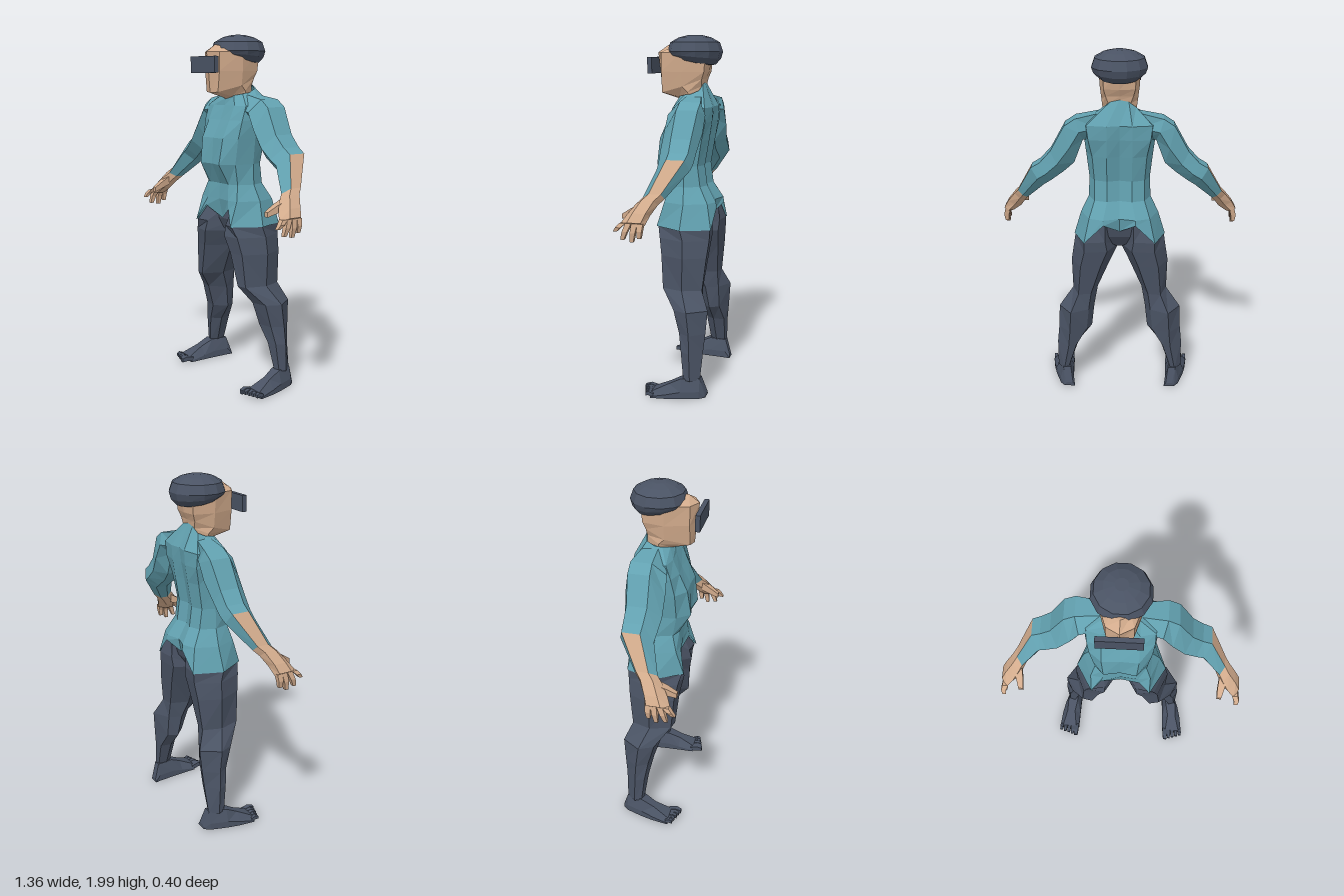
import * as THREE from 'three';

const mat = (name, color) => {
  const m = new THREE.MeshStandardMaterial({ color, flatShading: true });
  m.name = name;
  return m;
};

// Skin a list of equal-length rings of [x, y, z]; pick(ring, column) chooses the material.
function loft(name, rings, materials, { caps = true, pick = () => 0 } = {}) {
  const mats = [].concat(materials);
  const tris = mats.map(() => []);
  const n = rings[0].length;
  for (let i = 0; i < rings.length - 1; i++) {
    for (let j = 0; j < n; j++) {
      const k = (j + 1) % n;
      const [a, b, c, d] = [rings[i][j], rings[i][k], rings[i + 1][k], rings[i + 1][j]];
      tris[pick(i, j)].push([a, b, c], [a, c, d]);
    }
  }
  const middle = pts => [0, 1, 2].map(k => pts.reduce((s, p) => s + p[k], 0) / pts.length);
  if (caps) {
    const last = rings[rings.length - 1];
    const c0 = middle(rings[0]), c1 = middle(last);
    for (let j = 0; j < n; j++) {
      const k = (j + 1) % n;
      tris[0].push([c0, rings[0][k], rings[0][j]]);
      tris[pick(rings.length - 2, j)].push([c1, last[j], last[k]]);
    }
  }
  // Turn all faces outward
  const mid = new THREE.Vector3(...middle(rings.flat()));
  const v = p => new THREE.Vector3(...p).sub(mid);
  const volume = tris.flat().reduce((s, [a, b, c]) => s + v(a).dot(v(b).cross(v(c))), 0);
  const geo = new THREE.BufferGeometry();
  const pos = [];
  tris.forEach((list, m) => {
    const start = pos.length / 3;
    for (const [a, b, c] of list) pos.push(...a, ...(volume < 0 ? [...c, ...b] : [...b, ...c]));
    geo.addGroup(start, pos.length / 3 - start, m);
  });
  geo.setAttribute('position', new THREE.Float32BufferAttribute(pos, 3));
  geo.computeVertexNormals();
  const mesh = new THREE.Mesh(geo, mats.length > 1 ? mats : mats[0]);
  mesh.name = name;
  return mesh;
}

// Complete a half ring that runs from front centre to back centre
const whole = half => [...half, ...half.slice(1, -1).reverse().map(([x, y, z]) => [-x, y, z])];
// Half ring at one height from [x, z] pairs
const level = (y, ...pts) => whole(pts.map(([x, z]) => [x, y, z]));
const lerp = THREE.MathUtils.lerp;

export function createModel() {
  const shirt = mat('teal shirt', 0x62a1b0);
  shirt.side = THREE.DoubleSide; // open at the hem
  const dark = mat('dark slate', 0x4a5364);
  const skin = mat('skin', 0xd2ab8c);
  const body = new THREE.Group();
  body.name = 'figure';

  // Shirt body with a notched hem
  body.add(loft('shirt', [
    whole([[0, .965, .06], [.11, 1.03, .1], [.17, .94, .13], [.262, .94, -.03],
      [.2, .94, -.193], [.09, 1.05, -.2], [0, 1, -.155]]),
    level(1.08, [0, .085], [.1, .095], [.17, .085], [.22, -.04], [.17, -.165], [.09, -.195], [0, -.17]),
    level(1.17, [0, .08], [.09, .085], [.145, .06], [.176, -.03], [.14, -.115], [.07, -.14], [0, -.12]),
    level(1.285, [0, .135], [.09, .15], [.15, .08], [.17, -.03], [.14, -.1], [.07, -.125], [0, -.105]),
    level(1.43, [0, .125], [.1, .13], [.17, .075], [.187, -.03], [.15, -.125], [.07, -.15], [0, -.13]),
    level(1.53, [0, .075], [.1, .085], [.18, .055], [.2, -.03], [.17, -.15], [.07, -.165], [0, -.15]),
    level(1.61, [0, .045], [.1, .05], [.18, .03], [.2, -.05], [.18, -.15], [.07, -.17], [0, -.16]),
    whole([[0, 1.65, .04], [.06, 1.665, .025], [.095, 1.675, -.01], [.1, 1.68, -.05],
      [.09, 1.7, -.095], [.05, 1.73, -.105], [0, 1.74, -.105]]),
  ], shirt, { caps: false }));

  // Pants between the legs
  const slab = (y, x, back, front) => [[-x, y, front], [x, y, front], [x, y, back], [-x, y, back]];
  body.add(loft('pelvis', [slab(1.06, .12, -.165, .04), slab(.96, .12, -.14, .05),
    slab(.885, .02, -.09, .02)], dark));

  // Head and neck
  body.add(loft('head', [
    level(1.6, [0, 0], [.05, 0], [.08, -.05], [.05, -.1], [0, -.1]),
    whole([[0, 1.65, .045], [.05, 1.66, .03], [.095, 1.69, -.03], [.06, 1.72, -.1], [0, 1.74, -.105]]),
    whole([[0, 1.68, .145], [.055, 1.685, .13], [.1, 1.72, 0], [.075, 1.76, -.105], [0, 1.76, -.11]]),
    level(1.8, [0, .155], [.07, .13], [.11, 0], [.085, -.12], [0, -.13]),
    level(1.905, [0, .168], [.07, .13], [.115, 0], [.09, -.13], [0, -.15]),
    whole([[0, 1.945, .11], [.05, 1.93, .08], [.09, 1.93, -.02], [.07, 1.93, -.1], [0, 1.93, -.12]]),
  ], skin));

  // Cap: twelve-sided dome whose underside drops toward the back
  const profile = [[.08, -.08], [.115, -.07], [.145, -.035], [.156, 0], [.138, .05], [.09, .077], [.035, .09]];
  body.add(loft('cap', profile.map(([r, h]) => Array.from({ length: 12 }, (_, i) => {
    const a = (i + .5) / 12 * Math.PI * 2;
    const z = Math.cos(a) * r;
    return [Math.sin(a) * r, 1.91 + (h < 0 ? h * (.75 - 2.5 * z) : h), z - .047];
  })), dark));

  // Visor plate
  const visor = new THREE.Mesh(new THREE.BoxGeometry(.236, .09, .026), dark);
  visor.name = 'visor';
  visor.position.set(0, 1.835, .182);
  body.add(visor);

  // Place a [u, w] outline between inner and outer, back and front limits
  const armRing = ([tx, ty, bx, by, z0, z1]) =>
    [[1, .65], [.45, 1], [0, .7], [0, .3], [.45, 0], [1, .1]].map(([u, w]) =>
      [lerp(bx, tx, u), lerp(by, ty, u), lerp(z0, z1, w)]);
  const legRing = outline => ([y, x0, x1, z0, z1]) =>
    outline.map(([u, w]) => [lerp(x0, x1, u), y, lerp(z0, z1, w)]);
  const thighRing = legRing([[.35, 1], [.75, .95], [1, .45], [.75, 0], [.25, .05], [0, .5]]);
  const calfRing = legRing([[.35, 1], [.8, .9], [1, .5], [.65, 0], [.15, .25], [0, .6]]);
  const ankleRing = legRing([[.35, 1], [.8, .9], [1, .5], [.45, 0], [.1, .1], [0, .6]]);
  const footRing = ([z, x0, x1, top, inset]) =>
    [[x0, .008, z], [x1, .008, z], [x1, top * .4, z], [x1 - inset, top, z], [x0 + inset, top, z], [x0, top * .4, z]];
  // Square ring lying flat for fingers, upright for toes and thumbs
  const square = ([x, y, z], r, flat) =>
    [[-r, -r], [r, -r], [r, r], [-r, r]].map(([a, b]) => flat ? [x + a, y, z + b] : [x + a, y + b, z]);

  const arm = [
    [.08, 1.675, .14, 1.52, -.12, .02], [.24, 1.645, .2, 1.52, -.165, .045], [.3, 1.605, .25, 1.39, -.165, .05],
    [.38, 1.46, .31, 1.335, -.15, .05], [.44, 1.395, .38, 1.285, -.15, .04],
    [.49, 1.365, .42, 1.26, -.145, .035], [.58, 1.2, .53, 1.15, -.04, .08],
  ].map(armRing);
  const hand = [
    [.58, 1.2, .53, 1.15, -.04, .08], [.605, 1.17, .55, 1.12, -.01, .11],
    [.65, 1.11, .575, 1.08, .02, .145], [.675, 1.065, .625, 1.04, .035, .17],
  ].map(armRing);
  const leg = [
    [[.1, 1.06, .05], [.14, 1.06, .04], [.19, 1.06, -.04], [.155, 1.06, -.15], [.08, 1.06, -.17], [.005, 1.06, -.03]],
    [[.09, .94, .105], [.168, .94, .12], [.256, .94, -.03], [.198, .94, -.188], [.08, .94, -.175], [.003, .94, -.03]],
    ...[[.88, .005, .265, -.185, .118], [.785, .05, .28, -.175, .1], [.6, .13, .275, -.155, .085]].map(thighRing),
    ...[[.5, .15, .355, -.2, .01], [.37, .165, .36, -.19, -.03]].map(calfRing),
    ...[[.27, .245, .37, -.18, -.05], [.11, .3, .37, -.17, -.07]].map(ankleRing),
  ];
  // Feet turn out from heel to toe
  const foot = [
    [-.2, .268, .33, .03, .012], [-.17, .275, .355, .12, .018], [-.07, .282, .388, .12, .022],
    [0, .285, .405, .085, .035], [.095, .288, .418, .04, .02],
  ].map(footRing);

  for (const side of [1, -1]) {
    const tag = side > 0 ? 'left' : 'right';
    const add = (name, rings, m, opt) =>
      body.add(loft(tag + name, rings.map(r => r.map(([x, y, z]) => [side * x, y, z])), m, opt));

    // Sleeve, with the outer forearm bare
    add('Arm', arm, [shirt, skin], { pick: (i, j) => (i === 5 && j === 5 ? 1 : 0) });
    add('Hand', hand, skin);
    [[.055, .06, .985], [.085, .1, .965], [.118, .15, .975], [.148, .19, 1.015]].forEach(([z0, z1, y], i) =>
      add('Finger' + (i + 1), [
        square([.653, 1.06, z0], .016, true),
        square([.664, lerp(1.06, y, .5), lerp(z0, z1, .55)], .014, true),
        square([.662, y, z1], .01, true),
      ], skin));
    add('Thumb', [square([.58, 1.125, .08], .025), square([.568, 1.1, .135], .02),
      square([.56, 1.075, .185], .013)], skin);

    // Trouser leg, foot and toes
    add('Leg', leg, dark);
    add('Foot', foot, dark);
    for (let i = 0; i < 5; i++) {
      const x = .304 + i * .025, r = i ? .011 : .014, tip = .155 - i * .008;
      add('Toe' + (i + 1), [square([x, .024, .08], r), square([x + .002, .034, lerp(.08, tip, .6)], r),
        square([x + .004, .028, tip], r * .8)], dark);
    }
  }
  return body;
}
